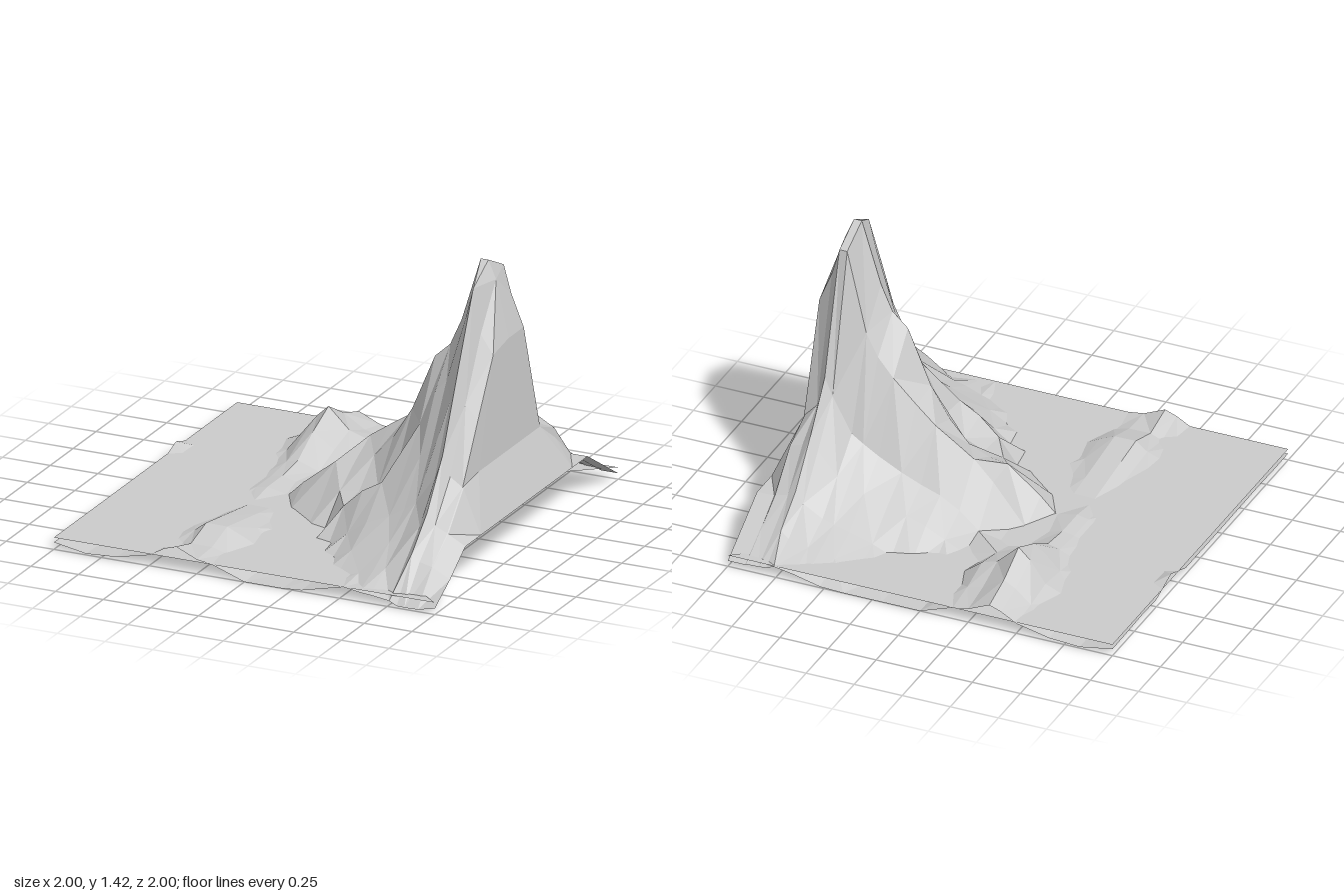
import * as THREE from 'three';

const material = new THREE.MeshStandardMaterial({
  color: 0xcccccc, flatShading: true, side: THREE.DoubleSide,
});
const WATER = 0.06;
const N = 12; // rows along z, 1/6 apart

// Straight-line interpolation through [position, value] points
function lerpTable(points, t) {
  if (t <= points[0][0]) return points[0][1];
  for (let i = 1; i < points.length; i++) {
    const [a, va] = points[i - 1], [b, vb] = points[i];
    if (t <= b) return va + (vb - va) * (t - a) / (b - a);
  }
  return points[points.length - 1][1];
}

// One value per row, from z = -1 (back) to z = 1 (front)
const peak = [0.04, 0.155, 0.28, 0.49, 0.73, 1.34, 1.42, 1.33, 0.97, 0.6, 0.37, 0.22, 0.01];
const shore = [0.75, 0.5, 0.35, 0.05, -0.02, -0.12, -0.24, -0.1, 0.12, 0.25, 0.33, 0.5, 0.52];
const hills = [0.12, 0.17, 0.26, 0.19, 0.1, 0.08, 0.08, 0.07, 0.1, 0.13, 0.16, 0.1, 0.12];
const rimEdge = [0.03, 0.13, 0.23, 0.23, 0.23, 0.23, 0.23, 0.23, 0.23, 0.23, 0.23, 0.12, 0.03];

// Rise from the shore (0) to the crest (1): along the spine, and on the broad sides
const spineRise = [[0, 0], [0.1, 0.08], [0.23, 0.155], [0.31, 0.155], [0.44, 0.2], [0.53, 0.27],
  [0.63, 0.38], [0.745, 0.6], [0.82, 0.645], [0.87, 0.69], [1, 1]];
const broadRise = [[0, 0], [0.1, 0.13], [0.27, 0.25], [0.46, 0.33], [0.7, 0.48], [0.87, 0.62], [1, 1]];
// Section of the low hill range, and the ground under it
const hillSection = [[-0.67, 0.05], [-0.5, 0.28], [-0.42, 0.75], [-0.36, 1], [-0.25, 0.6], [-0.17, 0.5], [-0.04, 0]];
const ground = [[-1, 0.03], [-0.83, 0], [-0.67, 0.01], [-0.5, 0.02], [-0.36, 0], [1, 0]];

const slopeX = [-1, -0.83, -0.67, -0.5, -0.42, -0.36, -0.25, -0.17, 0, 0.1, 0.2, 0.3, 0.4, 0.52, 0.6, 0.66, 0.76];

// Height of the mountain flank, dipping under the water outside its shore
function flank(k, x) {
  const out = x - shore[k];
  if (out < 0) return Math.max(0, WATER * (1 + out / 0.25));
  const crestX = k === 5 || k === 6 ? 0.76 : 0.8;
  const u = out / (crestX - shore[k]);
  let rise = lerpTable(broadRise, u);
  if (k === 6) rise = lerpTable(spineRise, u);
  if (k === 7) rise = lerpTable(spineRise, u) ** 1.2; // hollow beside the spine
  return WATER + (peak[k] - WATER) * rise;
}

// Cross-section of the land at row k, from left edge over the crest and down the cliff
function section(k) {
  const crest = peak[k];
  const shift = k > 6 && k < N ? 0.05 : 0; // front hill lies nearer the mountain
  const points = slopeX.map((x) => {
    const low = lerpTable(ground, x) + hills[k] * lerpTable(hillSection, x - shift);
    const islet = k === 4 && x === -1 ? 0.09 : 0;
    return [x, Math.max(low, flank(k, x), islet)];
  });
  const shelf = Math.max(Math.min(0.48, crest * 0.75), Math.min(rimEdge[k], crest));
  const brow = k === 4 ? 0.68 : k > 6 ? 0.76 : 0.85; // how far the cliff top drops
  points.push(
    [0.8, crest],
    [0.84, crest * (0.3 + 0.7 * brow + (k === 6 ? 0.04 : 0))],
    [0.905, Math.max(shelf, Math.min(1.04, crest * brow))],
    [0.91, shelf],
    [1, rimEdge[k]],
  );
  return points;
}

// Land: neighbouring cross-sections joined with triangles
function buildLand() {
  const positions = [], indices = [];
  let cols = 0;
  for (let k = 0; k <= N; k++) {
    const row = section(k);
    cols = row.length;
    for (const [x, y] of row) positions.push(x, y, -1 + 2 * k / N);
  }
  for (let k = 0; k < N; k++) {
    for (let i = 0; i < cols - 1; i++) {
      const a = k * cols + i, b = a + 1, c = a + cols, d = c + 1;
      if ((i + k) % 2) indices.push(a, c, b, b, c, d);
      else indices.push(a, c, d, a, d, b);
    }
  }
  const geometry = new THREE.BufferGeometry();
  geometry.setAttribute('position', new THREE.Float32BufferAttribute(positions, 3));
  geometry.setIndex(indices);
  geometry.computeVertexNormals();
  return geometry;
}

// Water: flat sheet with a wedge left open beneath the mountain
function buildWater() {
  const outline = [[1, 1], [-0.25, 0], [1, -1], [-1, -1], [-1, 1]];
  const shape = new THREE.Shape(outline.map(([x, z]) => new THREE.Vector2(x, -z)));
  return new THREE.ShapeGeometry(shape).rotateX(-Math.PI / 2).translate(0, WATER, 0);
}

export function createModel() {
  const model = new THREE.Group();
  model.name = 'mountainIsland';
  for (const [name, geometry] of [['land', buildLand()], ['water', buildWater()]]) {
    const mesh = new THREE.Mesh(geometry, material);
    mesh.name = name;
    model.add(mesh);
  }
  return model;
}
